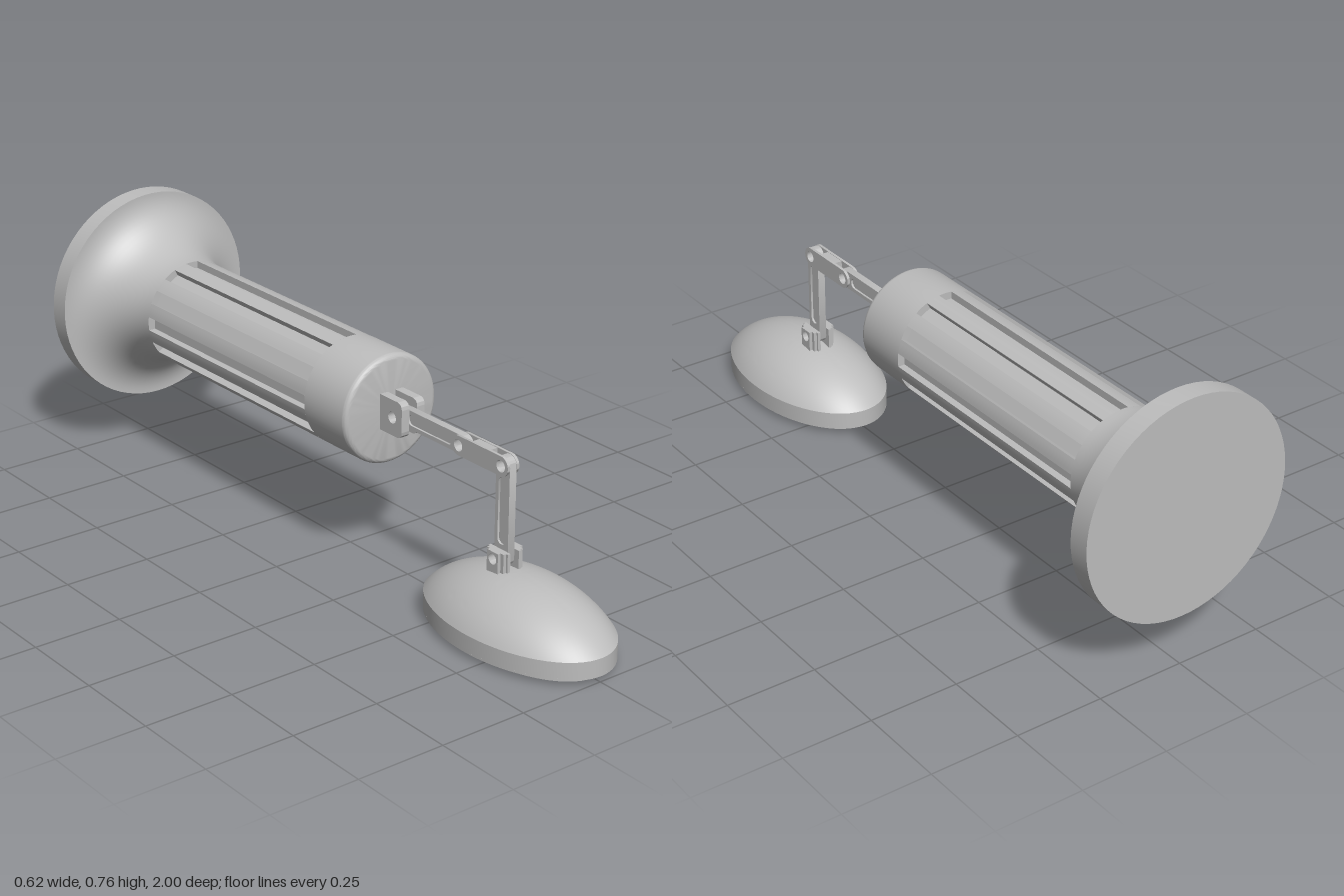
import * as THREE from 'three';
import { toCreasedNormals } from 'three/addons/utils/BufferGeometryUtils.js';

export function createModel() {
  const root = new THREE.Group();
  root.name = 'wallLamp';
  const grey = new THREE.MeshStandardMaterial({ color: 0xbdbdbd });
  grey.name = 'light grey';

  const add = (parent, name, geo) => {
    const mesh = new THREE.Mesh(toCreasedNormals(geo, 0.5), grey);
    mesh.name = name;
    parent.add(mesh);
    return mesh;
  };
  const group = (name) => {
    const g = new THREE.Group();
    g.name = name;
    root.add(g);
    return g;
  };
  const extrude = (shape, depth) =>
    new THREE.ExtrudeGeometry(shape, { depth, bevelEnabled: false, curveSegments: 28 });
  // side outline drawn as (z, y), given thickness from x0 to x1
  const extrudeX = (shape, x0, x1) => extrude(shape, x1 - x0).rotateY(-Math.PI / 2).translate(x1, 0, 0);
  // plan outline drawn as (x, -z), given height from y0 to y1
  const extrudeY = (shape, y0, y1) => extrude(shape, y1 - y0).rotateX(-Math.PI / 2).translate(0, y0, 0);
  const lathe = (pts, seg = 72) => new THREE.LatheGeometry(pts.map(([r, y]) => new THREE.Vector2(r, y)), seg);
  const circle = (x, y, r) => new THREE.Path().absarc(x, y, r, 0, Math.PI * 2, true);

  // stadium outline along u from 0 to len
  const stadium = (Type, a, b, r) => {
    const s = new Type();
    s.absarc(b, 0, r, -Math.PI / 2, Math.PI / 2, false);
    s.absarc(a, 0, r, Math.PI / 2, Math.PI * 1.5, false);
    s.closePath();
    return s;
  };
  const linkShape = (len, r, recess) => {
    const s = stadium(THREE.Shape, 0, len, r);
    s.holes.push(circle(0, 0, 0.016), circle(len, 0, 0.016));
    if (recess) s.holes.push(stadium(THREE.Path, 0.048, len - 0.048, 0.015));
    return s;
  };
  // single bar with a recessed groove on both faces
  const grooveLink = (name, len) => {
    const g = group(name);
    add(g, 'web', extrudeX(linkShape(len, 0.026, false), -0.005, 0.005));
    for (const [a, b] of [[-0.011, -0.005], [0.005, 0.011]])
      add(g, 'raisedEdge', extrudeX(linkShape(len, 0.026, true), a, b));
    return g;
  };

  // ---- body along z ----
  const R = 0.153, axisY = 0.451;
  const body = group('body');
  body.position.y = axisY;
  const flare = [[0, -1], [0.308, -1], [0.308, -0.94]];
  for (let i = 0; i <= 16; i++) {
    const t = (i / 16) * Math.PI / 2;
    flare.push([0.303 - 0.15 * Math.sin(t), -0.74 - 0.2 * Math.cos(t)]);
  }
  flare.push([0, -0.74]);
  add(body, 'flaredBase', lathe(flare).rotateX(Math.PI / 2));

  const cap = [[0, 0], [R, 0]];
  for (let i = 0; i <= 6; i++) {
    const t = (i / 6) * Math.PI / 2;
    cap.push([R - 0.016 + 0.016 * Math.cos(t), 0.16 + 0.016 * Math.sin(t)]);
  }
  cap.push([0, 0.176]);
  add(body, 'frontCap', lathe(cap).rotateX(Math.PI / 2));

  // grip with twelve lengthwise slots
  const grip = new THREE.Shape();
  const at = (r, a) => new THREE.Vector2(r * Math.cos(a), r * Math.sin(a));
  const pts = [], half = 0.13, step = Math.PI / 6;
  for (let k = 0; k < 12; k++) {
    const a = k * step;
    pts.push(at(R - 0.02, a - half * 1.13), at(R - 0.02, a + half * 1.13));
    for (let i = 0; i <= 4; i++) pts.push(at(R, a + half + (i / 4) * (step - 2 * half)));
  }
  grip.setFromPoints(pts);
  add(body, 'slottedGrip', extrude(grip, 0.74).translate(0, 0, -0.74));

  // ---- bracket on the front cap ----
  const armY = 0.454;
  const bracket = group('bodyBracket');
  const lug = new THREE.Shape();
  lug.moveTo(0.17, -0.05);
  lug.lineTo(0.248, -0.05);
  lug.quadraticCurveTo(0.266, -0.048, 0.266, -0.03);
  lug.lineTo(0.266, 0.03);
  lug.quadraticCurveTo(0.266, 0.048, 0.248, 0.05);
  lug.lineTo(0.17, 0.05);
  lug.closePath();
  lug.holes.push(circle(0.226, 0, 0.016));
  for (const [a, b] of [[-0.038, -0.013], [0.013, 0.038]])
    add(bracket, 'lug', extrudeX(lug, a, b));
  bracket.position.y = armY;

  // ---- arm ----
  grooveLink('rearLink', 0.244).position.set(0, armY, 0.226);

  const fork = group('forkLink');
  for (const [a, b] of [[-0.019, -0.011], [0.011, 0.019]])
    add(fork, 'cheek', extrudeX(linkShape(0.164, 0.027, false), a, b));
  add(fork, 'spacer', new THREE.BoxGeometry(0.022, 0.052, 0.07).translate(0, 0, 0.082));
  fork.position.set(0, armY, 0.47);

  const lower = grooveLink('lowerLink', 0.25);
  lower.rotation.x = Math.PI / 2;
  lower.position.set(0, armY, 0.634);

  // ---- lamp head ----
  const head = group('lampHead');
  head.position.set(0.003, 0, 0.692);
  const rx = 0.185, rz = 0.308;
  const dome = [[rx, 0.015], [rx, 0.065]];
  const arcR = 0.2105, a0 = Math.asin(rx / arcR);
  for (let i = 1; i <= 20; i++) {
    const t = a0 * (1 - i / 20);
    dome.push([arcR * Math.sin(t), 0.175 - arcR + arcR * Math.cos(t)]);
  }
  add(head, 'dome', lathe(dome).scale(1, 1, rz / rx));

  const ellipse = (Type, ax, az) => new Type().absellipse(0, 0, ax, az, 0, Math.PI * 2, false);
  const rim = ellipse(THREE.Shape, rx, rz);
  rim.holes.push(ellipse(THREE.Path, 0.16, 0.283));
  add(head, 'rimUnderside', extrudeY(rim, 0.015, 0.02));

  // underside plate with three round openings
  const plate = ellipse(THREE.Shape, 0.16, 0.283);
  for (const [z, r] of [[0.125, 0.033], [0.005, 0.055], [-0.125, 0.057]])
    plate.holes.push(circle(0, -z, r));
  add(head, 'lightPlate', extrudeY(plate, 0, 0.05));
  add(head, 'openingFloor', extrudeY(ellipse(THREE.Shape, 0.16, 0.283), 0.05, 0.055));

  // rounded lugs that hold the lower link
  const headBracket = group('headBracket');
  headBracket.position.set(0.002, 0.204, 0.634);
  for (const side of [-1, 1]) {
    for (let i = 0; i < 3; i++) {
      const x0 = 0.014 + i * 0.009, x1 = x0 + 0.009;
      const w = Math.sqrt(0.042 ** 2 - (x0 + 0.0045) ** 2);
      const s = new THREE.Shape();
      s.moveTo(-w, -0.05);
      s.lineTo(w, -0.05);
      s.lineTo(w, 0.021);
      s.lineTo(-w, 0.021);
      s.closePath();
      s.holes.push(circle(0, 0, 0.0145));
      add(headBracket, 'lug', extrudeX(s, side > 0 ? x0 : -x1, side > 0 ? x1 : -x0));
    }
  }
  return root;
}
